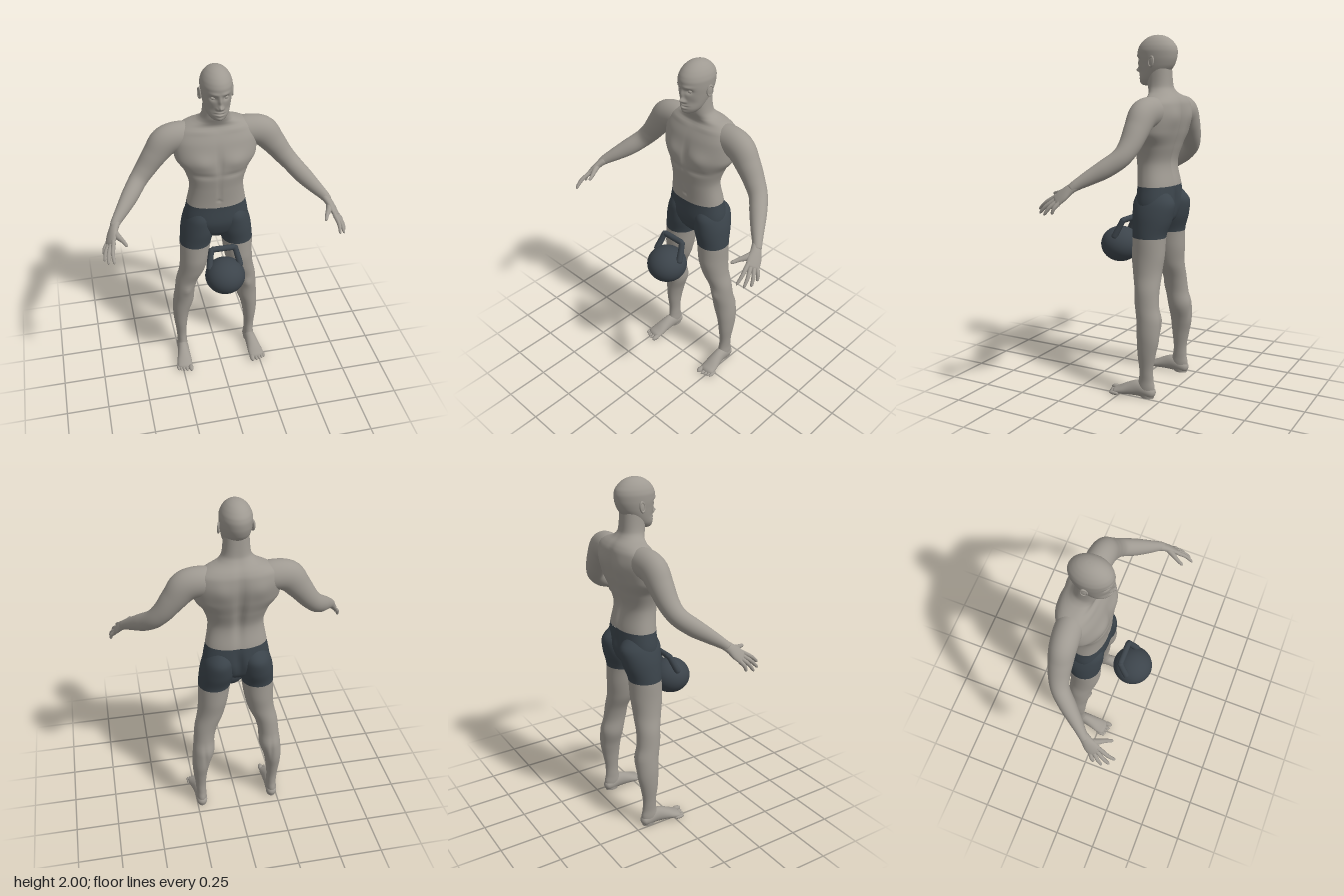
import * as THREE from 'three';

const V = (x, y, z) => new THREE.Vector3(x, y, z);

// Closed-ring surface: point(i, angle) gives each vertex, rings run along the part
function rings(rows, cols, point) {
  const pos = [], idx = [];
  for (let i = 0; i <= rows; i++) {
    for (let j = 0; j < cols; j++) {
      pos.push(...point(i / rows, (j / cols) * Math.PI * 2));
      if (i === rows) continue;
      const a = i * cols + j, b = i * cols + (j + 1) % cols;
      idx.push(a, b, a + cols, b, b + cols, a + cols);
    }
  }
  const g = new THREE.BufferGeometry();
  g.setAttribute('position', new THREE.Float32BufferAttribute(pos, 3));
  g.setIndex(idx);
  g.computeVertexNormals();
  return g;
}

// Monotone cubic interpolation of section rows keyed by their first column
function sample(rows, y) {
  let i = 0;
  while (i < rows.length - 2 && y > rows[i + 1][0]) i++;
  const slope = (n, k) => (rows[n + 1][k] - rows[n][k]) / (rows[n + 1][0] - rows[n][0]);
  const tangent = (n, k) => {
    if (n === 0) return slope(0, k);
    if (n === rows.length - 1) return slope(n - 1, k);
    const a = slope(n - 1, k), b = slope(n, k);
    return a * b <= 0 ? 0 : (2 * a * b) / (a + b);
  };
  const h = rows[i + 1][0] - rows[i][0], t = (y - rows[i][0]) / h;
  return rows[i].map((p, k) => {
    const q = rows[i + 1][k], d = q - p;
    const m0 = tangent(i, k) * h, m1 = tangent(i + 1, k) * h;
    return p + t * m0 + t * t * (3 * d - 2 * m0 - m1) + t * t * t * (m0 + m1 - 2 * d);
  });
}

// Upright loft of [y, centreX, halfWidth, zFront, zBack], with soft muscle bumps
// given as [x, y, spreadX, spreadY, dz, facing]
function loft(rows, y0, y1, n, cols, bumps = [], power = 2) {
  const shape = v => Math.sign(v) * Math.abs(v) ** (2 / power);
  return rings(n, cols, (t, a) => {
    const [y, cx, rx, zf, zb] = sample(rows, y0 + (y1 - y0) * (1 - Math.cos(Math.PI * t)) / 2);
    const x = cx + rx * shape(Math.cos(a));
    let z = (zf + zb) / 2 - ((zf - zb) / 2) * shape(Math.sin(a));
    for (const [bx, by, sx, sy, d, facing] of bumps) {
      const mask = THREE.MathUtils.clamp(-Math.sin(a) * facing * 2, 0, 1);
      z += mask * d * Math.exp(-(((Math.abs(x) - bx) / sx) ** 2) - ((y - by) / sy) ** 2);
    }
    return [x, y, z];
  });
}

// Limb along a smooth path of [x, y, z, radius along ref, radius across], rounded ends
function limb(rows, ref, n, cols, cap) {
  const curve = new THREE.CatmullRomCurve3(rows.map(r => V(r[0], r[1], r[2])));
  const radii = rows.map((r, i) => [i / (rows.length - 1), r[3], r[4]]);
  return rings(n, cols, (s, a) => {
    const t = (1 - Math.cos(Math.PI * s)) / 2;
    const e = Math.max(0, 1 - Math.min(t, 1 - t) / cap);
    const k = Math.max(0.01, Math.sqrt(1 - e * e));
    const [, ra, rb] = sample(radii, t);
    const T = curve.getTangent(t);
    const U = ref.clone().addScaledVector(T, -ref.dot(T)).normalize();
    const W = T.clone().cross(U);
    const p = curve.getPoint(t).addScaledVector(U, Math.cos(a) * ra * k).addScaledVector(W, Math.sin(a) * rb * k);
    return [p.x, Math.max(0, p.y), p.z];
  });
}

function mirrored(geometry) {
  const g = geometry.clone().scale(-1, 1, 1), ix = g.index.array;
  for (let i = 0; i < ix.length; i += 3) [ix[i], ix[i + 1]] = [ix[i + 1], ix[i]];
  return g;
}

const ellipsoid = (x, y, z, a, b, c) => new THREE.SphereGeometry(1, 20, 14).scale(a, b, c).translate(x, y, z);

export function createModel() {
  const model = new THREE.Group();
  const mat = (name, color) => Object.assign(new THREE.MeshStandardMaterial({ color }), { name });
  const skin = mat('skin', 0x9f9a92), cloth = mat('shorts cloth', 0x3b444b), iron = mat('iron', 0x3c444b);
  const add = (name, geometry, material) => {
    const mesh = new THREE.Mesh(geometry, material);
    mesh.name = name;
    model.add(mesh);
  };
  const pair = (name, geometry, material) => {
    add('left' + name, geometry, material);
    add('right' + name, mirrored(geometry), material);
  };

  // Trunk: pelvis, chest and neck share one profile, split at the waistband
  const trunk = [
    [0.93, 0, 0.005, -0.1, -0.14], [0.95, 0, 0.05, -0.07, -0.17], [1.0, 0, 0.15, -0.035, -0.215],
    [1.08, 0, 0.186, -0.015, -0.235], [1.18, 0, 0.17, -0.02, -0.225], [1.3, 0, 0.153, -0.014, -0.205],
    [1.4, 0, 0.18, -0.006, -0.23], [1.48, 0, 0.228, -0.014, -0.254], [1.57, 0, 0.235, -0.034, -0.268],
    [1.63, 0, 0.215, -0.06, -0.262], [1.665, 0, 0.165, -0.08, -0.243], [1.69, 0, 0.1, -0.072, -0.215],
    [1.72, 0, 0.076, -0.06, -0.195], [1.76, 0, 0.07, -0.055, -0.19], [1.83, 0, 0.066, -0.05, -0.185]];
  add('torso', loft(trunk, 1.18, 1.83, 90, 96, [
    [0.09, 1.475, 0.065, 0.045, 0.014, 1], [0, 1.46, 0.015, 0.08, -0.009, 1], // chest
    [0.08, 1.395, 0.07, 0.015, -0.006, 1], [0.1, 1.645, 0.08, 0.012, 0.006, 1], // ribs, collarbone
    [0, 1.28, 0.01, 0.08, -0.005, 1], [0, 1.225, 0.008, 0.01, -0.006, 1], // belly
    [0, 1.42, 0.025, 0.2, 0.018, -1], [0.1, 1.56, 0.05, 0.06, -0.008, -1], // spine, shoulder blades
  ], 2.25), skin);
  add('shortsSeat', loft(trunk, 0.93, 1.18, 30, 96, [[0, 1.08, 0.02, 0.07, 0.018, -1]], 2.25), cloth);

  // Legs, split at the hem
  const leg = [
    [0, 0.222, 0.028, -0.12, -0.2], [0.06, 0.222, 0.032, -0.1, -0.205], [0.1, 0.222, 0.03, -0.11, -0.197],
    [0.15, 0.224, 0.031, -0.115, -0.195], [0.25, 0.225, 0.041, -0.105, -0.21], [0.34, 0.219, 0.052, -0.098, -0.228],
    [0.44, 0.201, 0.064, -0.088, -0.233], [0.52, 0.195, 0.061, -0.076, -0.213], [0.6, 0.182, 0.066, -0.068, -0.207],
    [0.7, 0.149, 0.077, -0.042, -0.206], [0.8, 0.133, 0.085, -0.027, -0.214], [0.9, 0.125, 0.092, -0.028, -0.217],
    [1.0, 0.108, 0.1, -0.018, -0.247], [1.08, 0.1, 0.088, -0.016, -0.26], [1.16, 0.087, 0.06, -0.045, -0.205]];
  pair('Leg', loft(leg, 0, 0.9, 70, 48, [
    [0.188, 0.55, 0.025, 0.03, 0.009, 1], [0.2, 0.42, 0.012, 0.07, 0.006, -1]]), skin);
  pair('ShortsLeg', loft(leg, 0.9, 1.16, 24, 48), cloth);

  // Feet and toes
  pair('Foot', limb([
    [0.222, 0.026, -0.21, 0.024, 0.024], [0.222, 0.034, -0.17, 0.036, 0.033], [0.224, 0.046, -0.11, 0.046, 0.035],
    [0.229, 0.036, -0.05, 0.036, 0.041], [0.234, 0.023, 0, 0.024, 0.047], [0.237, 0.015, 0.045, 0.015, 0.047],
  ], V(0, 1, 0), 36, 32, 0.1), skin);
  for (let i = 0; i < 5; i++) {
    const r = i === 0 ? 0.0155 : 0.0105;
    pair('Toe' + (i + 1), ellipsoid([0.202, 0.228, 0.247, 0.265, 0.28][i], r, 0.048 - 0.006 * i, r, r, 0.03), skin);
  }

  // Arms from inside the shoulder to the wrist
  pair('Arm', limb([
    [0.08, 1.57, -0.16, 0.07, 0.07], [0.18, 1.588, -0.16, 0.082, 0.074], [0.265, 1.572, -0.155, 0.084, 0.072],
    [0.33, 1.5, -0.15, 0.07, 0.066], [0.388, 1.422, -0.14, 0.058, 0.057], [0.435, 1.367, -0.118, 0.052, 0.05],
    [0.487, 1.315, -0.06, 0.05, 0.046], [0.54, 1.27, 0.005, 0.04, 0.036], [0.588, 1.23, 0.062, 0.028, 0.026],
    [0.605, 1.21, 0.085, 0.022, 0.024]], V(0.3, 1, 0), 80, 36, 0.04), skin);

  // Hands: flat palm, four spread fingers and a thumb
  const palmNormal = V(-0.79, -0.56, -0.23), across = V(-0.53, 0.45, 0.72), knuckles = V(0.632, 1.155, 0.148);
  pair('Palm', limb([
    [0.58, 1.237, 0.052, 0.024, 0.025], [0.604, 1.208, 0.09, 0.021, 0.031],
    [0.622, 1.176, 0.124, 0.018, 0.041], [0.637, 1.147, 0.156, 0.012, 0.041]], palmNormal, 28, 28, 0.12), skin);
  const tips = { Index: [0.625, 1.1, 0.26], Middle: [0.656, 1.085, 0.238], Ring: [0.674, 1.08, 0.2], Little: [0.672, 1.088, 0.152] };
  Object.entries(tips).forEach(([name, tip], i) => {
    const end = V(...tip), base = knuckles.clone().addScaledVector(across, 0.03 - 0.02 * i);
    const middle = base.clone().lerp(end, 0.5).addScaledVector(palmNormal, -0.008);
    const root = base.clone().lerp(end, -0.2);
    pair(name + 'Finger', limb([
      [...root, 0.011, 0.011], [...base, 0.012, 0.012], [...middle, 0.0105, 0.0105], [...end, 0.007, 0.008],
    ], palmNormal, 20, 14, 0.09), skin);
  });
  pair('Thumb', limb([
    [0.605, 1.205, 0.09, 0.015, 0.018], [0.592, 1.193, 0.135, 0.016, 0.018],
    [0.567, 1.184, 0.178, 0.0115, 0.012], [0.548, 1.176, 0.22, 0.008, 0.009]], palmNormal, 20, 14, 0.09), skin);

  // Head with modelled face
  const head = [
    [1.725, 0, 0.002, -0.05, -0.06], [1.731, 0, 0.028, -0.018, -0.085], [1.742, 0, 0.044, -0.008, -0.11],
    [1.765, 0, 0.06, -0.003, -0.14], [1.8, 0, 0.071, -0.002, -0.175], [1.84, 0, 0.079, 0.002, -0.205],
    [1.88, 0, 0.084, 0.008, -0.219], [1.91, 0, 0.085, 0.009, -0.222], [1.935, 0, 0.08, 0.002, -0.217],
    [1.96, 0, 0.068, -0.015, -0.2], [1.98, 0, 0.051, -0.039, -0.177], [1.99, 0, 0.037, -0.058, -0.158],
    [1.998, 0, 0.017, -0.085, -0.131], [2.0, 0, 0.0005, -0.107, -0.109]];
  add('head', loft(head, 1.725, 2, 110, 112, [
    [0.034, 1.864, 0.018, 0.013, -0.013, 1], [0.03, 1.888, 0.025, 0.009, 0.005, 1], // sockets, brow
    [0, 1.845, 0.009, 0.025, 0.012, 1], [0, 1.812, 0.011, 0.013, 0.024, 1], [0.014, 1.806, 0.007, 0.008, 0.01, 1], // nose
    [0, 1.783, 0.02, 0.005, 0.008, 1], [0, 1.767, 0.018, 0.006, 0.008, 1], [0, 1.775, 0.024, 0.003, -0.005, 1], // lips
    [0, 1.745, 0.02, 0.012, 0.006, 1], [0.045, 1.8, 0.018, 0.022, -0.004, 1], // chin, cheeks
  ]), skin);
  pair('Eye', ellipsoid(0.034, 1.864, -0.019, 0.013, 0.009, 0.011), skin);
  const place = g => g.rotateY(Math.PI / 2 - 0.3).rotateX(-0.15).translate(0.087, 1.855, -0.11);
  pair('EarRim', place(new THREE.TorusGeometry(0.02, 0.005, 10, 28).scale(0.8, 1.3, 1.2)), skin);
  pair('EarBowl', place(new THREE.SphereGeometry(1, 16, 12).scale(0.015, 0.026, 0.005)), skin);

  // Kettlebell: ball and slanted handle
  add('kettlebellBall', new THREE.SphereGeometry(0.115, 48, 32).scale(1, 0.9, 1).translate(0, 0.812, 0.131), iron);
  add('kettlebellBar', new THREE.CapsuleGeometry(0.017, 0.115, 8, 20).rotateZ(Math.PI / 2).translate(0, 0.966, 0.076), iron);
  pair('KettlebellUpright', limb([
    [0.091, 0.86, 0.127, 0.019, 0.019], [0.084, 0.9, 0.108, 0.018, 0.018],
    [0.075, 0.94, 0.089, 0.017, 0.017], [0.066, 0.976, 0.073, 0.017, 0.017]], V(1, 0, 0), 20, 16, 0.08), iron);
  return model;
}
